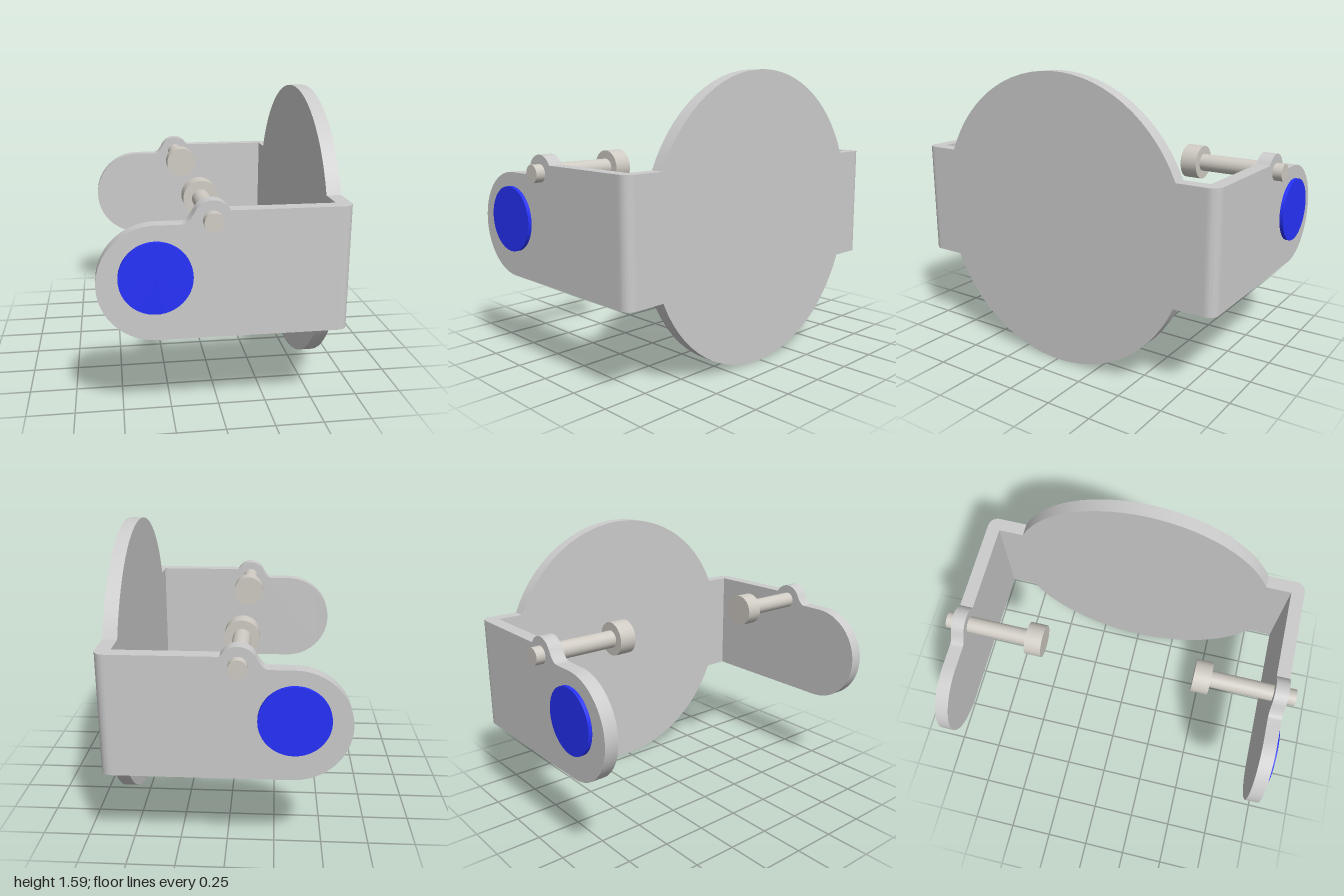
import * as THREE from 'three';
import { toCreasedNormals } from 'three/addons/utils/BufferGeometryUtils.js';

const grey = new THREE.MeshStandardMaterial({ color: 0xcccccc });
const steel = new THREE.MeshStandardMaterial({ color: 0xd0ccc4 });
const blue = new THREE.MeshStandardMaterial({ color: 0x2632fb });

const BOTTOM = 0.48, TOP = 1.11;     // height range of the bent strip
const INNER = 0.875, OUTER = 0.95;   // arm faces along z
const BACK = 0.54, THICK = 0.075;    // plate position along x, sheet thickness

function extrude(shape, depth, curveSegments) {
  const geo = new THREE.ExtrudeGeometry(shape, { depth, curveSegments, bevelEnabled: false });
  return toCreasedNormals(geo, 0.5);
}

function add(parent, name, geo, material) {
  const mesh = new THREE.Mesh(geo, material);
  mesh.name = name;
  parent.add(mesh);
  return mesh;
}

// Round plate with a short tab on each side
function plateGeometry() {
  const r = 0.795, cy = 0.795, a = Math.asin((TOP - cy) / r);
  const s = new THREE.Shape();
  s.moveTo(INNER, BOTTOM);
  s.lineTo(INNER, TOP);
  s.absarc(0, cy, r, a, Math.PI - a, false);
  s.lineTo(-INNER, TOP);
  s.lineTo(-INNER, BOTTOM);
  s.absarc(0, cy, r, Math.PI + a, 2 * Math.PI - a, false);
  s.closePath();
  return extrude(s, THICK, 14).rotateY(Math.PI / 2).translate(BACK, 0, 0);
}

// Bend between plate and arm: sharp inside, rounded outside
function bendGeometry(side) {
  const r = 0.055, x = BACK + THICK, o = -side * OUTER, i = -side * INNER;
  const s = new THREE.Shape();
  s.moveTo(BACK, i);
  s.lineTo(x, i);
  s.lineTo(x, o + side * r);
  s.absarc(x - r, o + side * r, r, 0, -side * Math.PI / 2, side > 0);
  s.lineTo(BACK, o);
  s.closePath();
  return extrude(s, TOP - BOTTOM, 8).rotateX(-Math.PI / 2).translate(0, BOTTOM, 0);
}

// Arm with a rounded end and a small boss around the pin
function armGeometry() {
  const s = new THREE.Shape();
  s.moveTo(BACK, BOTTOM);
  s.lineTo(BACK, TOP);
  s.lineTo(0.02, TOP);
  s.absarc(-0.065, 1.065, 0.095, 0.62, 2.6, false);
  s.quadraticCurveTo(-0.178, 1.05, -0.21, 1.05);
  s.lineTo(-0.33, 1.05);
  s.absarc(-0.33, 0.765, 0.285, Math.PI / 2, Math.PI * 1.5, false);
  s.closePath();
  return extrude(s, THICK, 16);
}

// Cylinder lying along z between two depths
function rod(radius, z0, z1, x, y, segments) {
  return new THREE.CylinderGeometry(radius, radius, Math.abs(z1 - z0), segments)
    .rotateX(Math.PI / 2).translate(x, y, (z0 + z1) / 2);
}

export function createModel() {
  const model = new THREE.Group();
  model.name = 'bracket';
  add(model, 'backPlate', plateGeometry(), grey);

  for (const side of [1, -1]) {
    const label = side > 0 ? 'front' : 'rear';
    add(model, label + 'Bend', bendGeometry(side), grey);
    add(model, label + 'Arm', armGeometry(), grey).position.z = side > 0 ? INNER : -OUTER;
    add(model, label + 'Pad', rod(0.177, side * 0.94, side * 0.97, -0.335, 0.797, 48), blue);

    // Pin through the boss, with its head on the inside
    const pin = new THREE.Group();
    pin.name = label + 'Pin';
    add(pin, 'shaft', rod(0.047, side * 0.5, side, -0.065, 1.065, 32), steel);
    add(pin, 'head', rod(0.092, side * 0.43, side * 0.525, -0.065, 1.065, 32), steel);
    model.add(pin);
  }
  return model;
}
